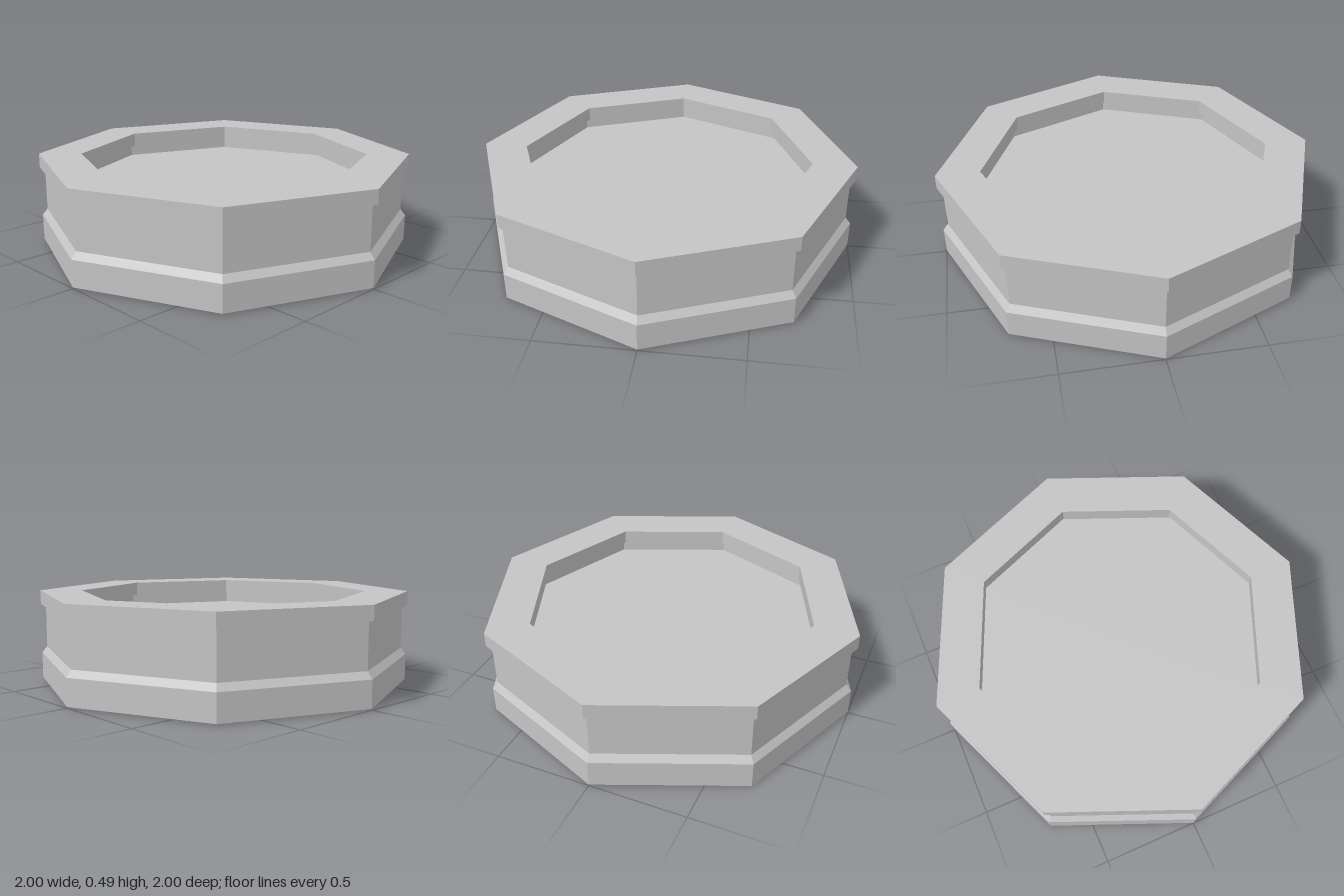
import * as THREE from 'three';

// Octagonal shallow dish: each part is an eight-sided lathe section
export function createModel() {
  const grey = new THREE.MeshStandardMaterial({ color: 0xc4c4c4, flatShading: true });
  grey.name = 'stone grey';
  const group = new THREE.Group();
  group.name = 'octagonalDish';

  // profiles are [radius, height], running from the underside outwards and up
  const parts = {
    underside: [[0, 0.02], [0.77, 0.02], [0.77, 0], [0.98, 0], [1, 0.006]],
    base: [[1, 0.006], [1, 0.145], [0.972, 0.18]],
    waist: [[0.972, 0.18], [0.972, 0.415]],
    rim: [[0.972, 0.415], [1, 0.415], [1, 0.49], [0.77, 0.49], [0.77, 0.415], [0.804, 0.415]],
    innerWall: [[0.804, 0.415], [0.804, 0.352]],
    floor: [[0.804, 0.352], [0, 0.352]],
  };

  for (const [name, profile] of Object.entries(parts)) {
    const points = profile.map(([r, y]) => new THREE.Vector2(r, y));
    const mesh = new THREE.Mesh(new THREE.LatheGeometry(points, 8), grey);
    mesh.name = name;
    group.add(mesh);
  }
  return group;
}
